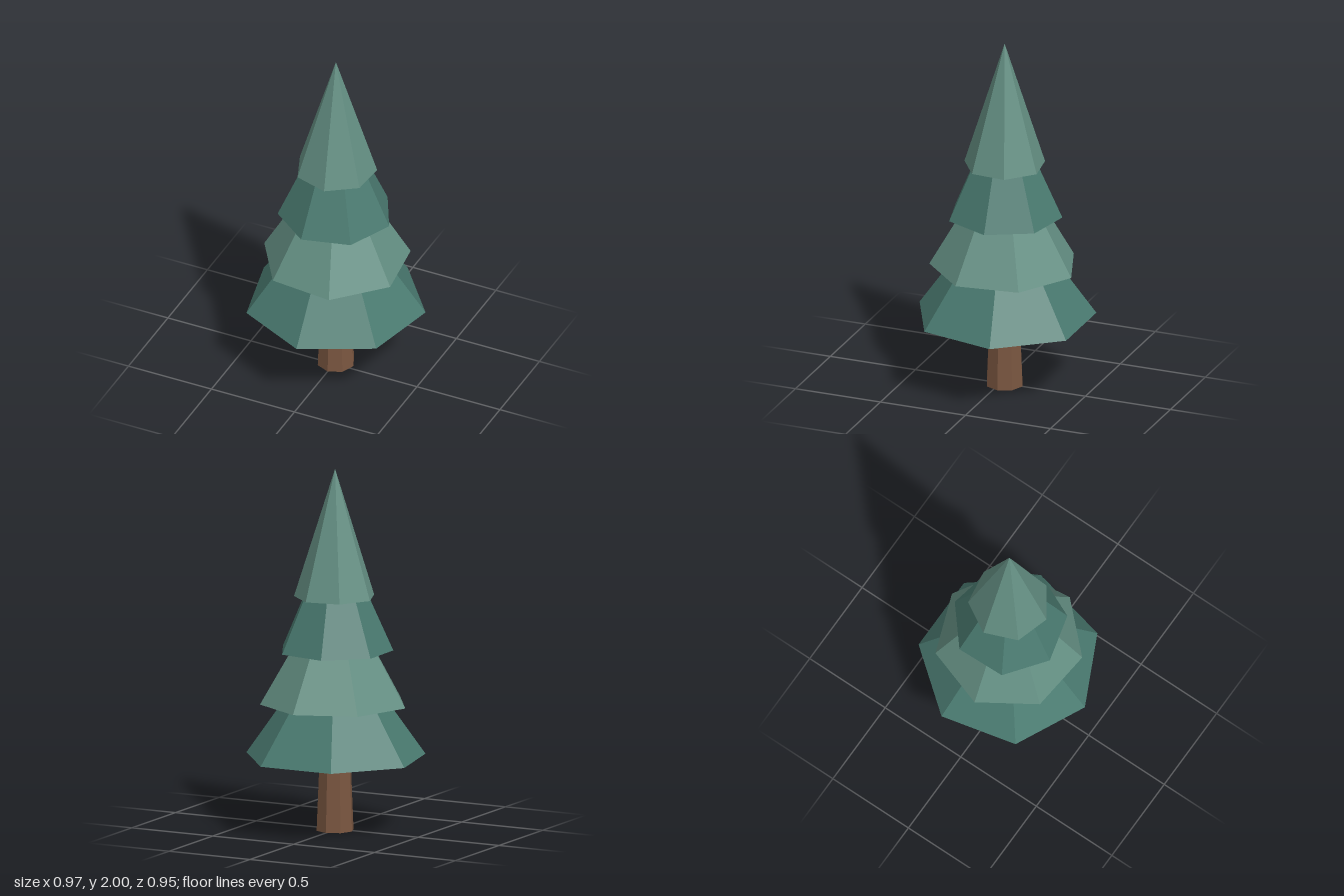
import * as THREE from 'three';

const SIDES = 7;
const TIER_HEIGHT = 0.71;
const TIER_STEP = 0.295;
const FIRST_TIER_Y = 0.405;
const TWIST = 0.35;

function flatMaterial(color) {
  const material = new THREE.MeshStandardMaterial({ color });
  material.flatShading = true;
  return material;
}

export function createModel() {
  const tree = new THREE.Group();
  tree.name = 'pineTree';

  const bark = flatMaterial(0x7a5640);
  const needles = [flatMaterial(0x4a7a70), flatMaterial(0x648f83)];

  // The seven-sided foliage is deeper at the back, so the tree's axis sits slightly behind z = 0
  const axis = new THREE.Group();
  axis.name = 'treeAxis';
  axis.position.z = -0.025;
  tree.add(axis);

  // Tapered eight-sided trunk, sunk a little into the lowest tier
  const trunkHeight = 0.45;
  const trunk = new THREE.Mesh(new THREE.CylinderGeometry(0.086, 0.105, trunkHeight, 8), bark);
  trunk.name = 'trunk';
  trunk.position.y = trunkHeight / 2;
  axis.add(trunk);

  // Stacked cones, each smaller and twisted further than the one below
  [0.5, 0.41, 0.317, 0.225].forEach((radius, i) => {
    const tier = new THREE.Mesh(new THREE.ConeGeometry(radius, TIER_HEIGHT, SIDES), needles[i % 2]);
    tier.name = `foliageTier${i + 1}`;
    tier.position.y = FIRST_TIER_Y + i * TIER_STEP + TIER_HEIGHT / 2;
    tier.rotation.y = i * TWIST;
    axis.add(tier);
  });

  return tree;
}
